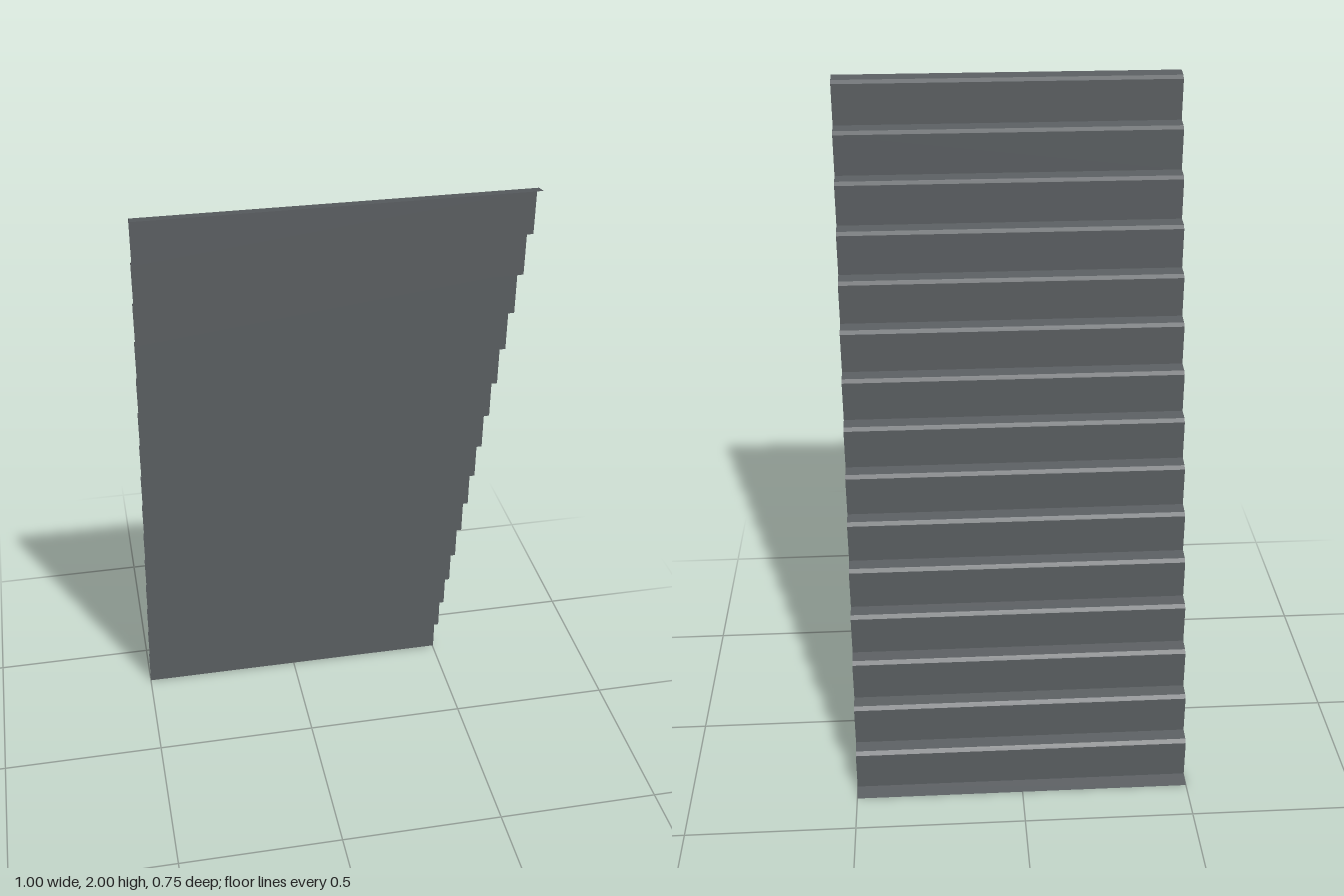
import * as THREE from 'three';

const WIDTH = 1;
const STEPS = 15;

export function createModel() {
  const model = new THREE.Group();
  model.name = 'steppedSheet';
  const metal = new THREE.MeshStandardMaterial({ color: 0x5a5e61, side: THREE.DoubleSide });
  metal.name = 'dark grey metal';

  // Folded strip running the full width, following [z, y] points from bottom to top
  function strip(name, points) {
    const pos = [];
    for (let i = 0; i < points.length - 1; i++) {
      const [z0, y0] = points[i];
      const [z1, y1] = points[i + 1];
      const a = [-WIDTH / 2, y0, z0], b = [WIDTH / 2, y0, z0];
      const c = [WIDTH / 2, y1, z1], d = [-WIDTH / 2, y1, z1];
      pos.push(...a, ...b, ...c, ...a, ...c, ...d);
    }
    const geometry = new THREE.BufferGeometry();
    geometry.setAttribute('position', new THREE.Float32BufferAttribute(pos, 3));
    geometry.computeVertexNormals();
    const mesh = new THREE.Mesh(geometry, metal);
    mesh.name = name;
    model.add(mesh);
  }

  // Bottom flange
  let z = -0.3725, y = 0;
  strip('bottomFlange', [[z, y], [z + 0.0445, y + 0.008]]);
  z += 0.0445;
  y += 0.008;

  // Each step: upright panel, small bevel, shallow ledge reaching forward
  for (let i = 0; i < STEPS; i++) {
    const top = y + 0.1178;
    strip('panel' + (i + 1), [[z, y], [z, top]]);
    strip('ledge' + (i + 1), [[z, top], [z + 0.011, top + 0.009], [z + 0.0467, top + 0.015]]);
    z += 0.0467;
    y += 0.1328;
  }
  return model;
}
